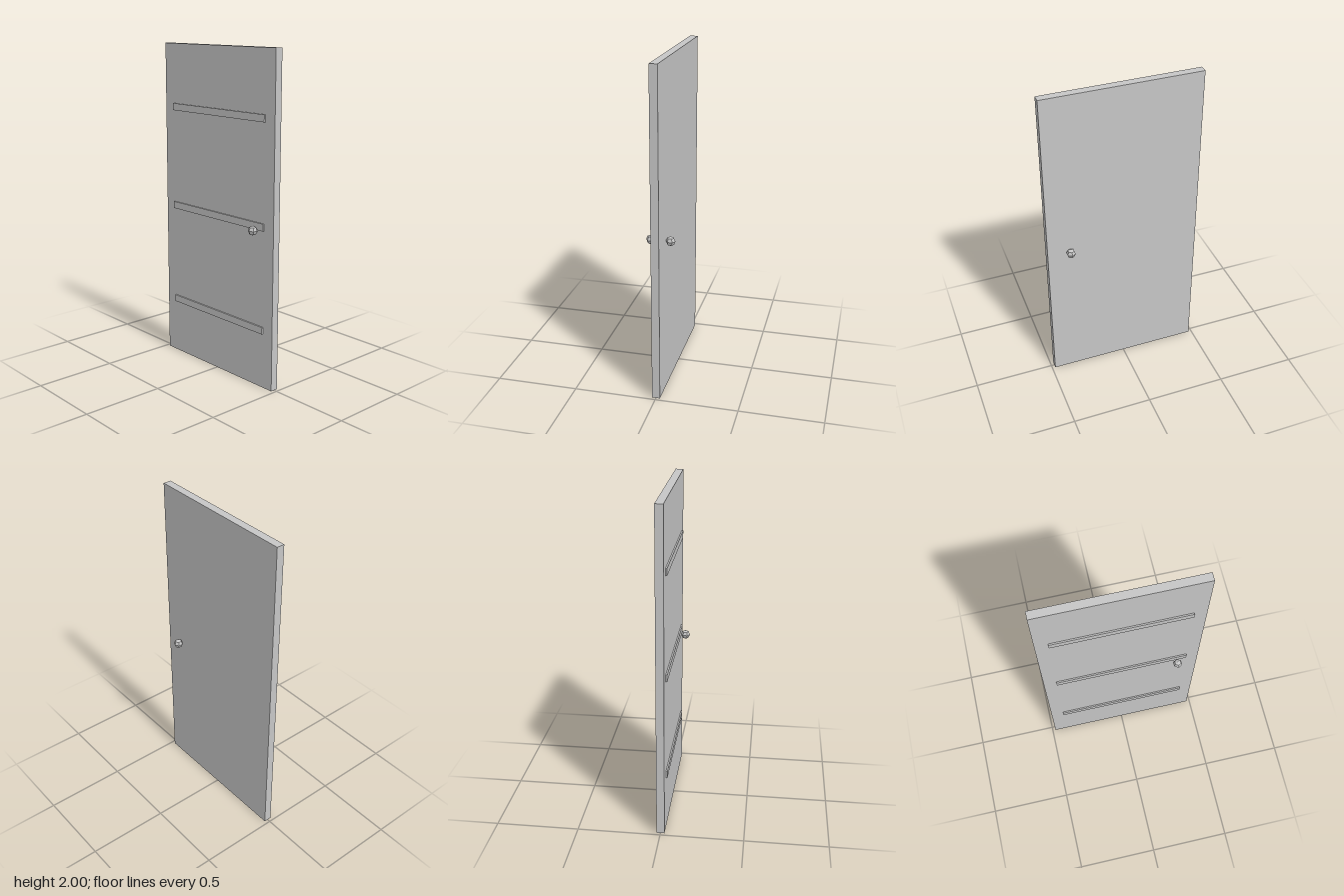
import * as THREE from 'three';

export function createModel() {
  const group = new THREE.Group();
  const grey = new THREE.MeshStandardMaterial({ color: 0xc6c6c6, flatShading: true });
  grey.name = 'lightGrey';

  const add = (name, geometry, x, y, z) => {
    const mesh = new THREE.Mesh(geometry, grey);
    mesh.name = name;
    mesh.position.set(x, y, z);
    group.add(mesh);
  };

  // Door slab
  add('doorPanel', new THREE.BoxGeometry(0.96, 2, 0.048), 0, 1, 0);

  // Three raised strips across the front
  const strip = new THREE.BoxGeometry(0.808, 0.043, 0.014);
  [0.36, 0.986, 1.612].forEach((y, i) => add(`strip${i + 1}`, strip, 0, y, 0.026));

  // Faceted knobs, one on each side, with a hexagon corner facing the door
  const knob = new THREE.SphereGeometry(0.0285, 6, 4);
  knob.rotateY(Math.PI / 2);
  add('frontKnob', knob, 0.345, 0.963, 0.058);
  add('backKnob', knob, 0.345, 0.963, -0.058);

  return group;
}
